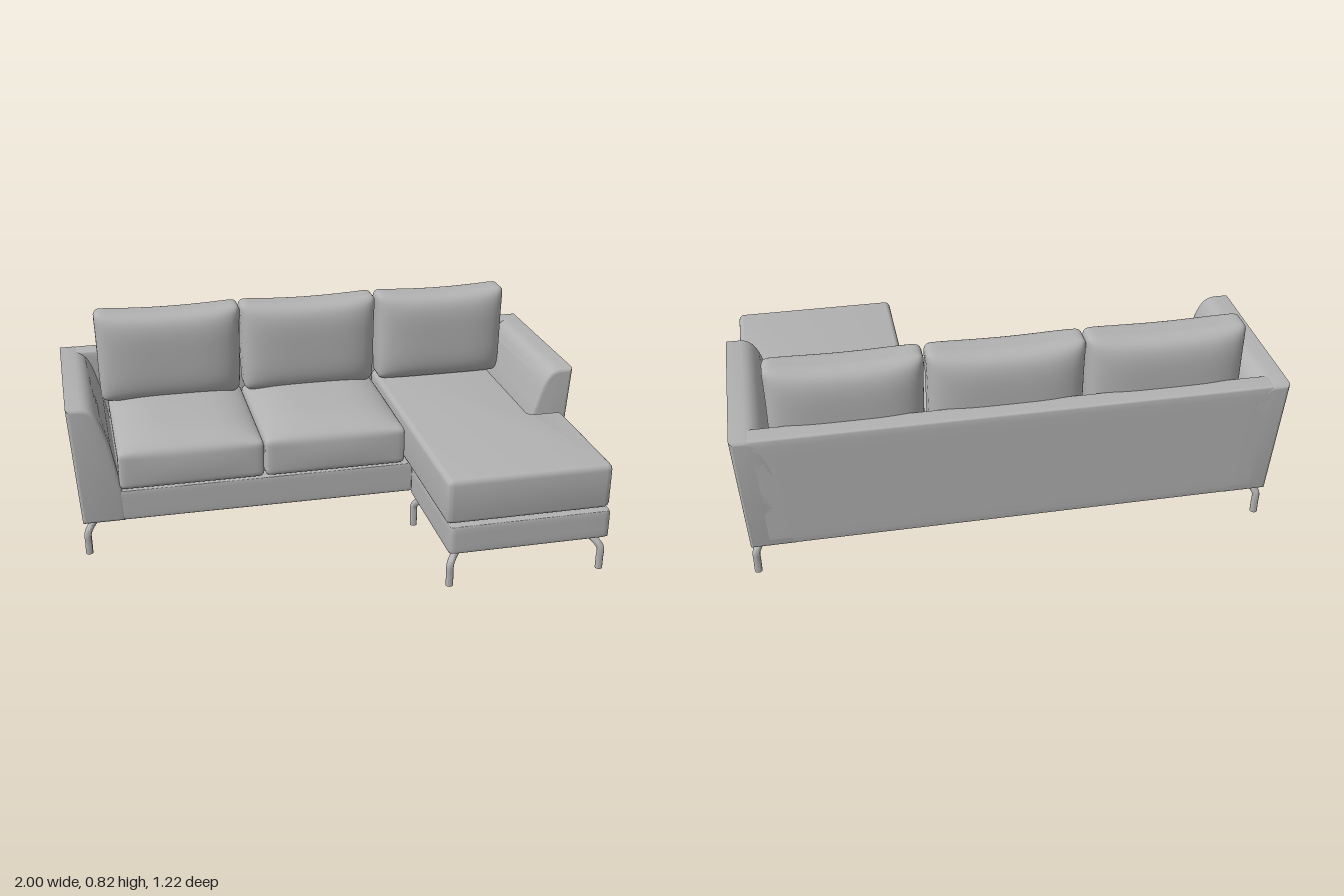
import * as THREE from 'three';
import { mergeVertices, toCreasedNormals } from 'three/addons/utils/BufferGeometryUtils.js';

const fabric = new THREE.MeshStandardMaterial({ color: 0xb2b2b2 });
fabric.name = 'grey';

function add(group, name, geometry) {
  const mesh = new THREE.Mesh(geometry, fabric);
  mesh.name = name;
  group.add(mesh);
  return mesh;
}

// Move every vertex by a rule
function reshape(geometry, rule) {
  const pos = geometry.attributes.position;
  const p = new THREE.Vector3();
  for (let i = 0; i < pos.count; i++) {
    rule(p.fromBufferAttribute(pos, i));
    pos.setXYZ(i, p.x, p.y, p.z);
  }
  return geometry;
}

// Smooth rounded box, centred on the origin, with optional extra shaping
// rule(p, u, v, w): u, v, w run from -1 to 1 across the box
function softBox(w, h, d, r, n, rule) {
  let g = new THREE.BoxGeometry(2, 2, 2, n, n, n);
  g.deleteAttribute('uv');
  g.deleteAttribute('normal');
  g = mergeVertices(g, 1e-4);
  const half = new THREE.Vector3(w / 2, h / 2, d / 2);
  const inner = half.clone().subScalar(r);
  const core = new THREE.Vector3();
  const ease = (t) => Math.sin((t * Math.PI) / 2);
  reshape(g, (p) => {
    p.set(ease(p.x), ease(p.y), ease(p.z)).multiply(half);
    core.copy(p).clamp(inner.clone().negate(), inner);
    p.sub(core).setLength(r).add(core);
    if (rule) rule(p, p.x / half.x, p.y / half.y, p.z / half.z);
  });
  g.computeVertexNormals();
  return g;
}

// Outer shell leans outwards towards the top
function flare(geometry) {
  reshape(geometry, (p) => {
    const low = 1 - (p.y - 0.135) / 0.485;
    p.x *= 1 - 0.03 * low;
    if (p.z < -0.3) p.z += 0.03 * low;
    else if (p.z > 0) p.z -= 0.008 * low;
  });
  return geometry;
}

// Arm: profile with a sloping inner face, run from back to front
function armGeometry(side) {
  const s = new THREE.Shape();
  s.moveTo(side * 1.0, 0.135);
  s.lineTo(side * 1.0, 0.62);
  s.lineTo(side * 0.945, 0.62);
  s.bezierCurveTo(side * 0.88, 0.615, side * 0.875, 0.53, side * 0.853, 0.45);
  s.lineTo(side * 0.83, 0.27);
  s.lineTo(side * 0.83, 0.135);
  s.closePath();
  const b = 0.015;
  const g = new THREE.ExtrudeGeometry(s, {
    depth: 0.695 - 2 * b, curveSegments: 14,
    bevelSize: b, bevelThickness: b, bevelOffset: -b, bevelSegments: 4,
  });
  g.translate(0, 0, -0.61 + b);
  return toCreasedNormals(flare(g), 0.6);
}

// Long seat cushion with a notch around the arm
function chaiseCushionGeometry() {
  const s = new THREE.Shape();
  const corners = [[0.32, 0.52], [0.825, 0.52], [0.825, -0.09], [0.96, -0.09], [0.96, -0.605], [0.32, -0.605]];
  const r = 0.025;
  corners.forEach((c, i) => {
    const at = new THREE.Vector2(...c);
    const toward = (j) => new THREE.Vector2(...corners[(j + 6) % 6]).sub(at).setLength(r).add(at);
    const a = toward(i - 1), e = toward(i + 1);
    if (i === 0) s.moveTo(a.x, a.y);
    else s.lineTo(a.x, a.y);
    s.quadraticCurveTo(at.x, at.y, e.x, e.y);
  });
  s.closePath();
  const b = 0.025;
  const g = new THREE.ExtrudeGeometry(s, {
    depth: 0.18 - 2 * b, curveSegments: 6,
    bevelSize: b * 0.8, bevelThickness: b, bevelOffset: -b * 0.8, bevelSegments: 5,
  });
  g.rotateX(-Math.PI / 2).translate(0, 0.263 + b, 0);
  return toCreasedNormals(g, 0.6);
}

// Bent leg: foot at (x, z), the top swept diagonally inwards
function legGeometry(dx, dz) {
  const path = new THREE.CatmullRomCurve3(
    [[0, 0], [0, 0.045], [0, 0.085], [0.006, 0.1], [0.028, 0.125], [0.045, 0.14]]
      .map(([k, y]) => new THREE.Vector3(k * dx, y, k * dz)));
  const section = new THREE.Shape().absarc(0, 0, 0.014, 0, Math.PI * 2);
  const g = new THREE.ExtrudeGeometry(section, { steps: 20, curveSegments: 12, extrudePath: path });
  return toCreasedNormals(g, 0.7);
}

export function createModel() {
  const sofa = new THREE.Group();
  sofa.name = 'cornerSofa';

  // Shell: deck, back and two arms
  add(sofa, 'seatDeck', flare(softBox(1.92, 0.13, 0.68, 0.01, 8).translate(0, 0.202, -0.257)));
  add(sofa, 'backRest', flare(softBox(1.92, 0.484, 0.085, 0.015, 12).translate(0, 0.378, -0.5675)));
  add(sofa, 'leftArm', armGeometry(1));
  add(sofa, 'rightArm', armGeometry(-1));

  // Chaise
  add(sofa, 'chaiseBase', softBox(0.63, 0.118, 0.525, 0.012, 8)).position.set(0.65, 0.197, 0.345);
  add(sofa, 'chaiseCushion', chaiseCushionGeometry());

  // Seat cushions with a crowned top
  for (const x of [-0.54, 0.028]) {
    const seat = softBox(0.565, 0.155, 0.6, 0.022, 20, (p, u, v, w) => {
      const crown = (1 - u ** 4) * (1 - w ** 4);
      if (v > 0) p.y += 0.045 * crown * v;
      p.z += 0.008 * (1 - u ** 2) * (1 - v ** 2) * Math.max(w, 0);
    });
    add(sofa, 'seatCushion', seat).position.set(x, 0.348, -0.212);
  }

  // Back cushions: pillows with thin edges and slightly pulled-in sides
  for (const [x, w] of [[-0.562, 0.595], [0.02, 0.575], [0.59, 0.56]]) {
    const pillow = softBox(w, 0.385, 0.205, 0.035, 24, (p, u, v) => {
      const full = Math.sqrt(Math.max(0, (1 - u ** 4) * (1 - v ** 4)));
      p.z *= 0.38 + 0.62 * full;
      p.x *= 1 - 0.02 * (1 - v ** 2) - (v < 0 ? 0.04 * v * v : 0);
      if (v > 0) p.y -= 0.014 * (1 - u ** 2) * v;
    });
    add(sofa, 'backCushion', pillow).position.set(x, 0.632, -0.442);
  }

  // Legs: four under the sofa, four under the chaise
  const legSets = [
    { xs: [-0.955, 0.955], zs: [-0.54, 0.055] },
    { xs: [0.347, 0.945], zs: [0.105, 0.588] },
  ];
  for (const { xs, zs } of legSets) {
    xs.forEach((x, i) => zs.forEach((z, j) => {
      add(sofa, 'leg', legGeometry(i ? -1 : 1, j ? -1 : 1)).position.set(x, 0, z);
    }));
  }
  return sofa;
}
